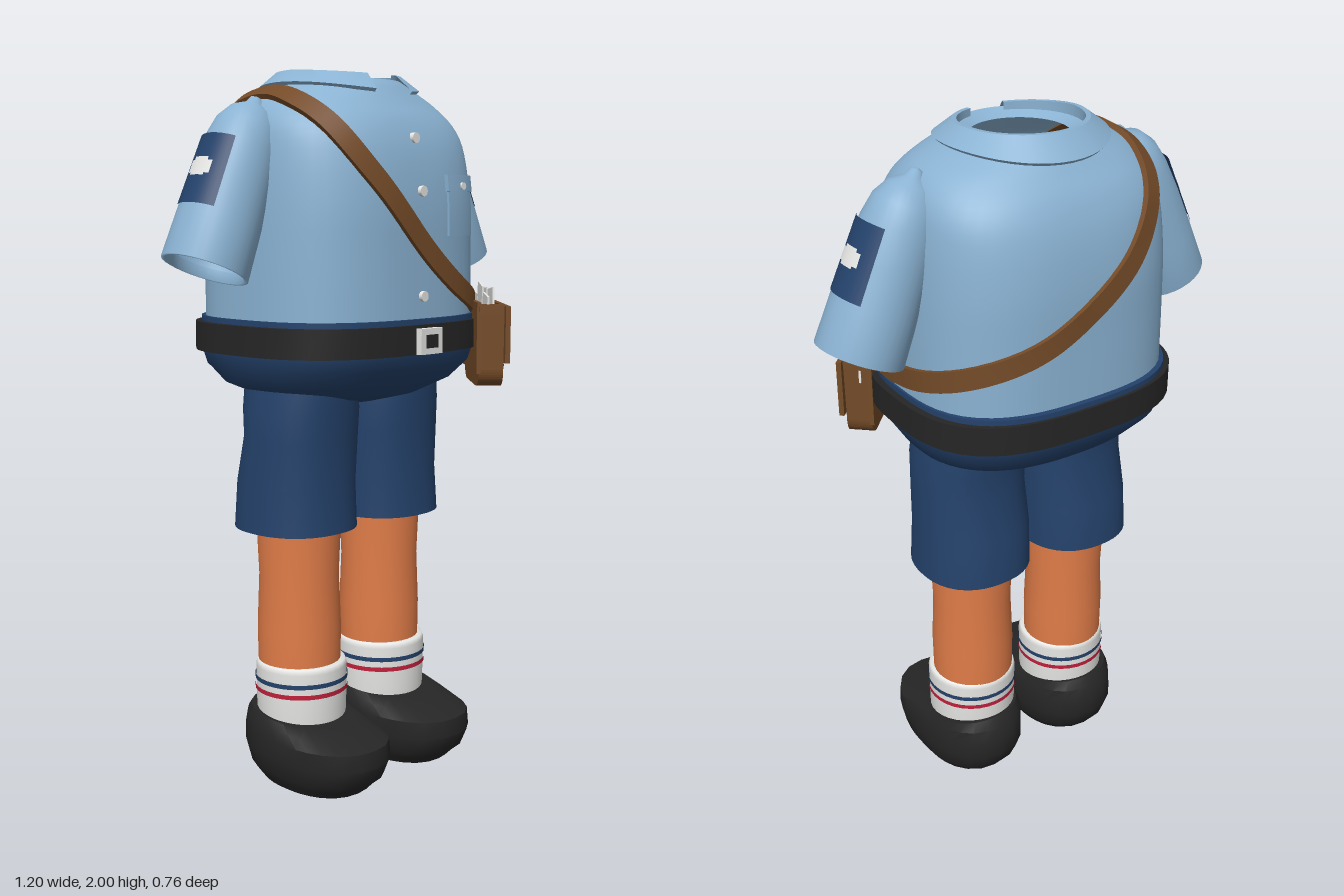
import * as THREE from 'three';
import { toCreasedNormals } from 'three/addons/utils/BufferGeometryUtils.js';

const mat = (name, color, side = THREE.FrontSide) => {
  const m = new THREE.MeshStandardMaterial({ color, side });
  m.name = name;
  return m;
};

const CZ = -0.042; // depth of the body axis
const smooth = THREE.MathUtils.smoothstep;

// Polar radius of a superellipse
const polar = (t, rx, rz, n) =>
  Math.pow(Math.pow(Math.abs(Math.cos(t)) / rx, n) + Math.pow(Math.abs(Math.sin(t)) / rz, n), -1 / n);

// Skin a list of closed point rings, ordered bottom to top
function skin(rings, crease = 0.8, closed = false) {
  const m = rings[0].length, pos = rings.flat().flatMap(p => [p.x, p.y, p.z]), idx = [];
  const rows = closed ? rings.length : rings.length - 1;
  for (let i = 0; i < rows; i++) for (let j = 0; j < m; j++) {
    const k = (j + 1) % m, u = (i + 1) % rings.length;
    const a = i * m + j, b = i * m + k, c = u * m + j, d = u * m + k;
    idx.push(a, c, b, b, c, d);
  }
  const g = new THREE.BufferGeometry();
  g.setAttribute('position', new THREE.Float32BufferAttribute(pos, 3));
  g.setIndex(idx);
  return toCreasedNormals(g, crease);
}

// Each section: [y, rx, rz, cx, cz, exponent, tilt]
const ring = ([y, rx, rz, cx = 0, cz = CZ, n = 2, tilt = 0], seg = 48) =>
  Array.from({ length: seg }, (_, j) => {
    const t = j / seg * Math.PI * 2, r = polar(t, rx, rz, n), z = cz + r * Math.sin(t);
    return new THREE.Vector3(cx + r * Math.cos(t), y - tilt * z, z);
  });
const loft = (sections, seg, crease, closed) => skin(sections.map(s => ring(s, seg)), crease, closed);

// Shirt profile as points of (y, rx, rz)
const profile = new THREE.CatmullRomCurve3([
  [1.3, .37, .315], [1.5, .368, .313], [1.65, .363, .31], [1.78, .352, .29], [1.86, .335, .258],
  [1.91, .3, .222], [1.94, .25, .2], [1.96, .205, .185], [1.975, .17, .17],
].map(p => new THREE.Vector3(...p))).getPoints(32);
const shirtN = y => 2.8 - 0.8 * smooth(y, 1.8, 1.97);
function shirtSize(y) {
  let i = 0;
  while (i < profile.length - 2 && profile[i + 1].x < y) i++;
  const a = profile[i], b = profile[i + 1];
  const p = a.clone().lerp(b, (y - a.x) / (b.x - a.x));
  return [p.y, p.z, shirtN(y)];
}
const shirtPoint = (t, y) => {
  const r = polar(t, ...shirtSize(y));
  return new THREE.Vector3(r * Math.cos(t), y, CZ + r * Math.sin(t));
};
const shirtFront = (x, y) => {
  const [rx, rz, n] = shirtSize(y);
  return CZ + rz * Math.pow(1 - Math.pow(Math.abs(x) / rx, n), 1 / n);
};

export function createModel() {
  const root = new THREE.Group();
  const M = {
    shirt: mat('shirt blue', 0x8ab2d2, THREE.DoubleSide),
    navy: mat('navy', 0x24426b, THREE.DoubleSide),
    skin: mat('skin', 0xe07c48),
    black: mat('black', 0x262626),
    white: mat('white', 0xe6e6e4, THREE.DoubleSide),
    red: mat('red', 0xc0203c),
    brown: mat('brown leather', 0x744b28),
    dark: mat('dark leather', 0x42291a),
  };
  const add = (name, geo, m, parent = root, x = 0, y = 0, z = 0) => {
    const mesh = new THREE.Mesh(geo, m);
    mesh.name = name;
    mesh.position.set(x, y, z);
    parent.add(mesh);
    return mesh;
  };
  const box = (name, w, h, d, m, parent, x, y, z) => add(name, new THREE.BoxGeometry(w, h, d), m, parent, x, y, z);
  const disc = (name, r, d, m, parent, x, y, z) =>
    add(name, new THREE.CylinderGeometry(r, r, d, 20).rotateX(Math.PI / 2), m, parent, x, y, z);
  const lathe = pts => new THREE.LatheGeometry(pts.map(p => new THREE.Vector2(...p)), 32);

  // Shirt body with an open neck
  add('shirt', loft([...profile.map(p => [p.x, p.y, p.z, 0, CZ, shirtN(p.x)]), [1.955, .13, .13]], 64), M.shirt);

  // Folded collar, open at the front and lower towards front and back
  const collarRows = [[.162, 1.96], [.162, 2], [.175, 2], [.226, 1.942], [.218, 1.934]];
  const collar = collarRows.map(([r, y], i) => Array.from({ length: 41 }, (_, j) => {
    const t = Math.PI / 2 + .32 + j / 40 * (Math.PI * 2 - .64);
    const lift = i > 2 ? .022 * Math.cos(t) ** 2 : -.012 * Math.max(0, Math.sin(t));
    return new THREE.Vector3(r * Math.cos(t), y + lift, CZ - .005 + r * Math.sin(t));
  }));
  const sections = collar[0].map((_, j) => collar.map(row => row[j]));
  add('collar', skin(sections, .6), M.shirt);

  // Buttons and chest pocket follow the shirt front
  for (const y of [1.815, 1.675, 1.395]) disc('button', .014, .016, M.white, root, 0, y, shirtFront(0, y) + .003);
  const plate = (name, w, h, d, x, y) => {
    const g = new THREE.BoxGeometry(w, h, d, 8, 5, 1).translate(x, y, 0), p = g.attributes.position;
    for (let i = 0; i < p.count; i++) p.setZ(i, p.getZ(i) + shirtFront(p.getX(i), p.getY(i)));
    g.computeVertexNormals();
    add(name, g, M.shirt);
  };
  plate('pocket', .142, .165, .014, .18, 1.637);
  plate('pocketFlap', .152, .045, .024, .18, 1.698);
  disc('pocketButton', .01, .012, M.white, root, .175, 1.69, shirtFront(.175, 1.69) + .013);

  // Sleeves with curved arm patches
  for (const s of [1, -1]) {
    const arm = new THREE.Group();
    arm.name = s > 0 ? 'leftSleeve' : 'rightSleeve';
    arm.position.set(s * .492, 1.472, -.048);
    arm.rotation.z = s * .395;
    root.add(arm);
    add('sleeve', lathe([[.106, .03], [.108, 0], [.118, 0], [.114, .12], [.108, .25], [.1, .34], [.086, .4],
      [.06, .44], [.025, .462], [.016, .48], [.0001, .487]]), M.shirt, arm);
    const wrap = (name, y0, y1, half, lift, m) => {
      const r = y => .119 - .042 * y + lift;
      add(name, new THREE.CylinderGeometry(r(y1), r(y0), y1 - y0, 12, 1, true, s * Math.PI / 2 - half, half * 2),
        m, arm, 0, (y0 + y1) / 2, 0);
    };
    wrap('armPatch', .14, .335, .7, .003, M.navy);
    wrap('patchEmblem', .222, .258, .35, .006, M.white);
    wrap('patchEmblemTop', .215, .266, .22, .007, M.white);
  }

  // Shorts: seat and two legs, hollow at the hems
  add('shortsSeat', loft([[1.085, .001, .001], [1.09, .14, .12], [1.11, .25, .2], [1.15, .335, .268],
    [1.2, .365, .312], [1.25, .378, .328], [1.335, .376, .328], [1.335, .362, .31]]
    .map(([y, rx, rz]) => [y, rx, rz, 0, -.045, 2 + .8 * smooth(y, 1.08, 1.2)]), 64), M.navy);
  for (const s of [1, -1]) {
    const cx = s * .167, side = s > 0 ? 'left' : 'right';
    add(side + 'ShortsLeg', loft([[.82, .148, .15], [.74, .153, .158], [.74, .163, .169], [.87, .16, .16],
      [1, .156, .15], [1.08, .154, .158], [1.16, .14, .165]]
      .map(([y, rx, rz], i) => [y, rx, rz, s * (.173 - (y - .74) * .02), i < 4 ? -.047 : -.03, 2.3]), 40), M.navy);
    add(side + 'Leg', lathe([[.118, .3], [.12, .45], [.114, .6], [.12, .74], [.12, .95]]), M.skin, root, cx, 0, -.042);

    // Sock with two stripes
    add(side + 'Sock', lathe([[.12, .12], [.129, .2], [.131, .335], [.126, .35], [.108, .35]]), M.white, root, cx, 0, -.034);
    for (const [name, y, m] of [['navyStripe', .302, M.navy], ['redStripe', .272, M.red]])
      add(name, new THREE.CylinderGeometry(.1335, .1335, .013, 32, 1, true), m, root, cx, y, -.034);

    // Shoe sections: y, back z, front z, half width, tilt
    add(side + 'Shoe', loft([[.005, .02, .03, .001], [.005, -.14, .2, .12], [.025, -.165, .22, .132], [.05, -.185, .25, .147],
      [.1, -.205, .272, .156], [.15, -.203, .266, .155], [.182, -.192, .18, .146, .06], [.2, -.172, .108, .134, .12],
      [.198, -.13, .07, .1, .12]]
      .map(([y, b, f, w, tilt = 0]) => [y, w, (f - b) / 2, s * .172, (f + b) / 2, 2.3, tilt]), 28, .6), M.black);
  }

  // Belt and buckle
  add('belt', loft([[1.24, .396], [1.32, .396], [1.32, .365], [1.24, .365]]
    .map(([y, r]) => [y, r, r - .06, 0, -.045, 2.8]), 64, .6, true), M.black);
  box('buckle', .085, .07, .022, M.white, root, 0, 1.276, .298);
  box('buckleCentre', .046, .036, .006, M.black, root, 0, 1.276, .309);

  // Shoulder strap: angle in degrees and height, laid on the shirt
  const path = new THREE.CatmullRomCurve3([[38, 1.35], [65, 1.425], [94, 1.555], [120, 1.715], [141, 1.85], [160, 1.91],
    [180, 1.93], [200, 1.91], [220, 1.85], [248, 1.67], [285, 1.53], [318, 1.455], [352, 1.39], [376, 1.37], [396, 1.36]]
    .map(([a, y]) => new THREE.Vector3(a * Math.PI / 180, y, 0)));
  const strap = path.getPoints(140).map(({ x: t, y }) => {
    const p = shirtPoint(t, y), e = .012;
    const n = shirtPoint(t, y + e).sub(shirtPoint(t, y - e)).cross(shirtPoint(t + e, y).sub(shirtPoint(t - e, y))).normalize();
    return { p, n };
  });
  add('shoulderStrap', skin(strap.map(({ p, n }, i) => {
    const dir = strap[Math.min(i + 1, 140)].p.clone().sub(strap[Math.max(i - 1, 0)].p);
    const w = n.clone().cross(dir).normalize();
    return [[-.028, -.006], [-.028, .013], [.028, .013], [.028, -.006]]
      .map(([a, b]) => p.clone().addScaledVector(w, a).addScaledVector(n, b));
  }), .6), M.brown);

  // Satchel, turned to the front left hip
  const bag = new THREE.Group();
  bag.name = 'satchel';
  bag.position.set(.32, 0, .23);
  bag.rotation.y = .83;
  root.add(bag);
  const outline = new THREE.Shape();
  outline.moveTo(-.142, 1.345).lineTo(-.138, 1.18).quadraticCurveTo(-.135, 1.135, -.09, 1.13)
    .lineTo(.09, 1.13).quadraticCurveTo(.135, 1.135, .138, 1.18).lineTo(.142, 1.345);
  add('bagBody', new THREE.ExtrudeGeometry(outline, { depth: .07, bevelEnabled: false }), M.brown, bag, 0, 0, -.035);
  box('bagOpening', .26, .006, .056, M.dark, bag, 0, 1.345, 0);
  box('bagBack', .285, .2, .012, M.brown, bag, 0, 1.27, -.036);
  box('bagFlap', .31, .16, .014, M.brown, bag, 0, 1.28, .044);
  for (const s of [1, -1]) box('bagSide', .012, .03, .07, M.brown, bag, s * .138, 1.35, 0);
  disc('badgeRim', .028, .01, M.red, bag, 0, 1.312, .054);
  disc('badgeCentre', .014, .006, M.white, bag, 0, 1.312, .058);
  box('claspStrap', .032, .095, .008, M.black, bag, 0, 1.225, .054);
  box('claspBuckle', .036, .034, .012, M.white, bag, 0, 1.2, .056);

  // Letters standing in the bag
  [[-.09, .385, .1], [-.045, .4, -.12], [.01, .41, .14], [.06, .395, -.1], [.1, .38, .08]].forEach(([x, top, tilt], i) => {
    const letter = box('letter', .085, .09, .006, M.white, bag, x, 1 + top - .04, (i % 2 ? .012 : -.01));
    letter.rotation.z = tilt;
    if (i === 2) box('stamp', .022, .022, .004, M.red, letter, .02, .025, .004);
  });

  return root;
}
